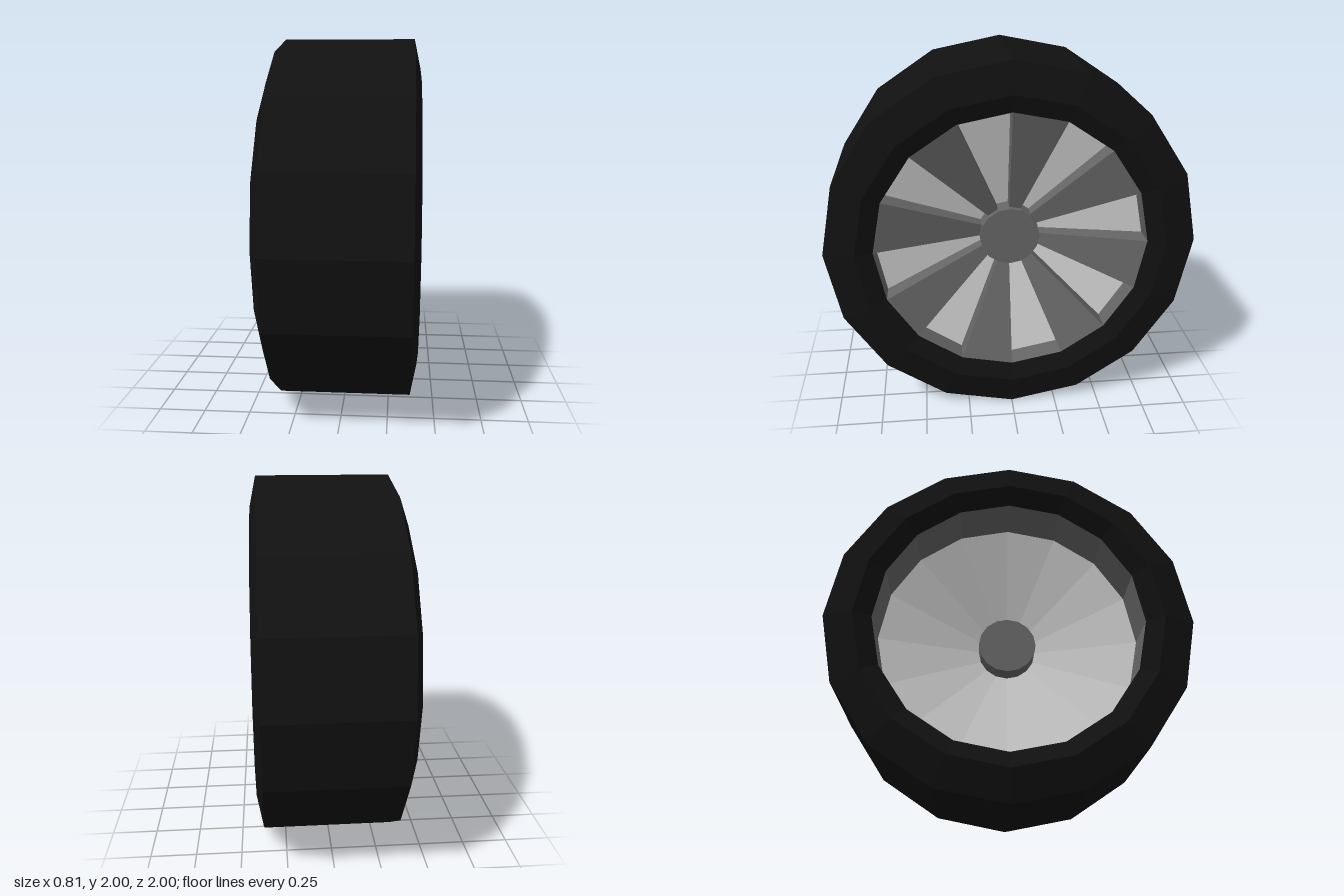
import * as THREE from 'three';

const SIDES = 16;

const material = (color, side = THREE.FrontSide) =>
  new THREE.MeshStandardMaterial({ color, flatShading: true, side });

const rubber = material(0x111111);
const darkMetal = material(0x666666);
const lightMetal = material(0xcccccc);

// Revolves [radius, x] points around the axle (the x axis)
function turned(name, profile, mat) {
  const geometry = new THREE.LatheGeometry(
    profile.map(([r, x]) => new THREE.Vector2(r, x)), SIDES);
  geometry.rotateZ(-Math.PI / 2);
  const mesh = new THREE.Mesh(geometry, mat);
  mesh.name = name;
  return mesh;
}

// Wedge-shaped spoke: sloping front face and two straight side walls
function spokeGeometry(start, end) {
  const point = (x, r, angle) => [x, r * Math.cos(angle), -r * Math.sin(angle)];
  const edge = (angle) => ({
    frontIn: point(0.2, 0.16, angle),
    frontOut: point(0.37, 0.74, angle),
    floorIn: point(0.12, 0.16, angle),
    floorOut: point(0.245, 0.74, angle),
  });
  const a = edge(start);
  const b = edge(end);
  const quads = [
    [a.frontIn, b.frontIn, b.frontOut, a.frontOut],
    [b.frontIn, b.floorIn, b.floorOut, b.frontOut],
    [a.floorIn, a.frontIn, a.frontOut, a.floorOut],
  ];
  const positions = quads.flatMap(([p, q, r, s]) => [p, q, r, p, r, s]).flat();
  const geometry = new THREE.BufferGeometry();
  geometry.setAttribute('position', new THREE.Float32BufferAttribute(positions, 3));
  geometry.computeVertexNormals();
  return geometry;
}

export function createModel() {
  const wheel = new THREE.Group();
  wheel.name = 'wheel';

  // Tyre with bevelled shoulders and sidewalls dipping in to the rim
  wheel.add(turned('tire', [
    [0.74, -0.345], [0.835, -0.405], [1, -0.345],
    [1, 0.37], [0.835, 0.405], [0.74, 0.37],
  ], rubber));

  // Inner barrel of the rim
  wheel.add(turned('rimBarrel', [[0.74, 0.37], [0.74, -0.345]],
    material(0x666666, THREE.DoubleSide)));

  // Dish, hollowed towards the hub on both faces
  wheel.add(turned('dish', [
    [0.74, 0.245], [0.16, 0.12], [0.16, 0.1], [0.74, -0.075],
  ], lightMetal));

  // Hub through the centre
  wheel.add(turned('hub', [
    [0, -0.01], [0.165, -0.01], [0.165, 0.234], [0, 0.234],
  ], darkMetal));

  // Eight spokes, one on every other sector
  const spokes = new THREE.Group();
  spokes.name = 'spokes';
  const step = (Math.PI * 2) / SIDES;
  for (let i = 0; i < SIDES; i += 2) {
    const spoke = new THREE.Mesh(spokeGeometry(i * step, (i + 1) * step), darkMetal);
    spoke.name = 'spoke';
    spokes.add(spoke);
  }
  wheel.add(spokes);

  wheel.position.y = 1;
  const model = new THREE.Group();
  model.name = 'wheelModel';
  model.add(wheel);
  return model;
}
